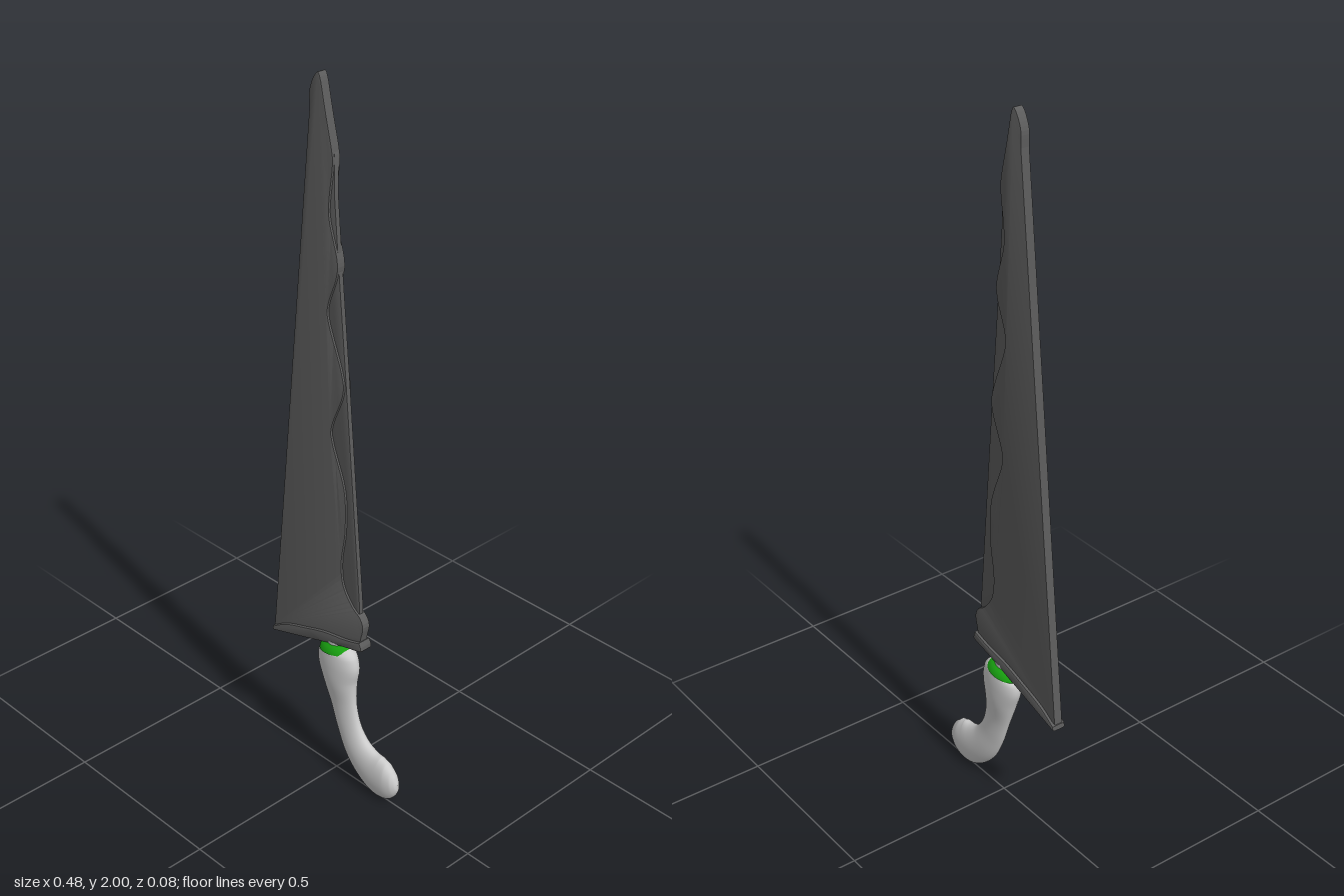
import * as THREE from 'three';
import { toCreasedNormals } from 'three/addons/utils/BufferGeometryUtils.js';

const vec = (pts) => pts.map(([x, y]) => new THREE.Vector2(x, y));

// Plate of half thickness h, centred on z = 0, with its bevel kept inside the outline
function plate(shape, h, bevel) {
  const geo = new THREE.ExtrudeGeometry(shape, {
    depth: 2 * (h - bevel), bevelEnabled: true, bevelThickness: bevel,
    bevelSize: bevel, bevelOffset: -bevel, bevelSegments: 2, curveSegments: 60,
  });
  geo.translate(0, 0, -(h - bevel));
  return toCreasedNormals(geo, 0.6);
}

// Smooth loft through elliptical sections [x, y, half width, half depth]
function loft(sections, steps, sides) {
  const centre = new THREE.CatmullRomCurve3(sections.map(([x, y]) => new THREE.Vector3(x, y, 0)));
  const radius = new THREE.CatmullRomCurve3(
    sections.map(([, , r, d], i) => new THREE.Vector3(r, d, i * 0.05)));
  const pos = [], idx = [];
  for (let i = 0; i <= steps; i++) {
    const c = centre.getPoint(i / steps), t = centre.getTangent(i / steps), s = radius.getPoint(i / steps);
    for (let a = 0; a < sides; a++) {
      const ang = (a / sides) * Math.PI * 2;
      const w = Math.max(s.x, 0) * Math.cos(ang);
      pos.push(c.x - t.y * w, c.y + t.x * w, Math.max(s.y, 0) * Math.sin(ang));
      if (i < steps) {
        const p = i * sides + a, q = i * sides + (a + 1) % sides;
        idx.push(p, q, p + sides, q, q + sides, p + sides);
      }
    }
  }
  const geo = new THREE.BufferGeometry();
  geo.setAttribute('position', new THREE.Float32BufferAttribute(pos, 3));
  geo.setIndex(idx);
  geo.computeVertexNormals();
  return geo;
}

export function createModel() {
  const model = new THREE.Group();
  const steel = new THREE.MeshStandardMaterial({ color: 0x5c5c5c });
  const grey = new THREE.MeshStandardMaterial({ color: 0xcccccc });
  const green = new THREE.MeshStandardMaterial({ color: 0x18a010, side: THREE.DoubleSide });
  const add = (name, geo, mat) => {
    const mesh = new THREE.Mesh(geo, mat);
    mesh.name = name;
    model.add(mesh);
    return mesh;
  };

  // Thick blade body: straight spine on one side, wavy shoulder on the other
  const body = new THREE.Shape();
  body.moveTo(0.1, 0.47);
  body.lineTo(0.105, 0.495);
  body.splineThru(vec([
    [0.112, 0.53], [0.1, 0.557], [0.07, 0.58], [0.037, 0.63], [0.03, 0.7], [0.044, 0.8], [0.04, 0.92],
    [-0.003, 1.04], [-0.005, 1.09], [0.034, 1.19], [0.03, 1.25], [-0.015, 1.37], [-0.018, 1.42],
    [0.011, 1.5], [0.014, 1.55], [-0.012, 1.64], [-0.014, 1.69], [-0.002, 1.78], [-0.004, 1.82],
    [-0.025, 1.91], [-0.04, 1.98],
  ]));
  body.splineThru(vec([[-0.05, 2], [-0.066, 1.985], [-0.08, 1.95], [-0.08, 1.91]]));
  body.lineTo(-0.236, 0.37);
  add('bladeBody', plate(body, 0.013, 0.003), steel);

  // Thin cutting edge that fills the hollows of the wavy shoulder
  const edge = new THREE.Shape(vec([
    [0.09, 0.5], [0.094, 0.58], [0.04, 1.23], [0.012, 1.55], [0, 1.7], [0, 1.81], [-0.05, 1.9], [-0.06, 0.5],
  ]));
  add('cuttingEdge', plate(edge, 0.007, 0.002), steel);

  // Slanted guard along the base of the blade
  const guard = new THREE.Shape();
  guard.moveTo(-0.239, 0.354);
  guard.lineTo(-0.1, 0.396);
  guard.splineThru(vec([[0, 0.427], [0.06, 0.443], [0.108, 0.455], [0.112, 0.468], [0.105, 0.483]]));
  guard.splineThru(vec([[0.05, 0.467], [-0.03, 0.452], [-0.1, 0.43], [-0.18, 0.402], [-0.237, 0.368]]));
  add('guard', plate(guard, 0.021, 0.006), steel);

  // Green collar sitting on the tilted top of the grip
  const collar = add('collar', new THREE.LatheGeometry(vec([
    [0.056, 0], [0.053, 0.008], [0.043, 0.018], [0.026, 0.024],
  ]), 40), green);
  collar.position.set(0.001, 0.405, 0);
  collar.rotation.z = 0.14;
  collar.scale.z = 0.68;

  // Tang joining the grip to the guard
  const tang = add('tang', new THREE.CylinderGeometry(0.028, 0.028, 0.04, 32), grey);
  tang.position.set(0, 0.415, 0);
  tang.scale.z = 0.8;

  // Curved grip, swelling at the top and at the butt
  add('grip', loft([
    [0.004, 0.41, 0, 0], [0.005, 0.408, 0.05, 0.032], [0.007, 0.395, 0.066, 0.036],
    [0.009, 0.36, 0.071, 0.037], [0.014, 0.31, 0.058, 0.034], [0.028, 0.24, 0.047, 0.023],
    [0.051, 0.17, 0.045, 0.022], [0.085, 0.115, 0.051, 0.026], [0.125, 0.083, 0.06, 0.028],
    [0.165, 0.068, 0.067, 0.028], [0.2, 0.068, 0.059, 0.026], [0.223, 0.071, 0.038, 0.019],
    [0.233, 0.073, 0.02, 0.01], [0.237, 0.074, 0, 0],
  ], 78, 36), grey);

  return model;
}
